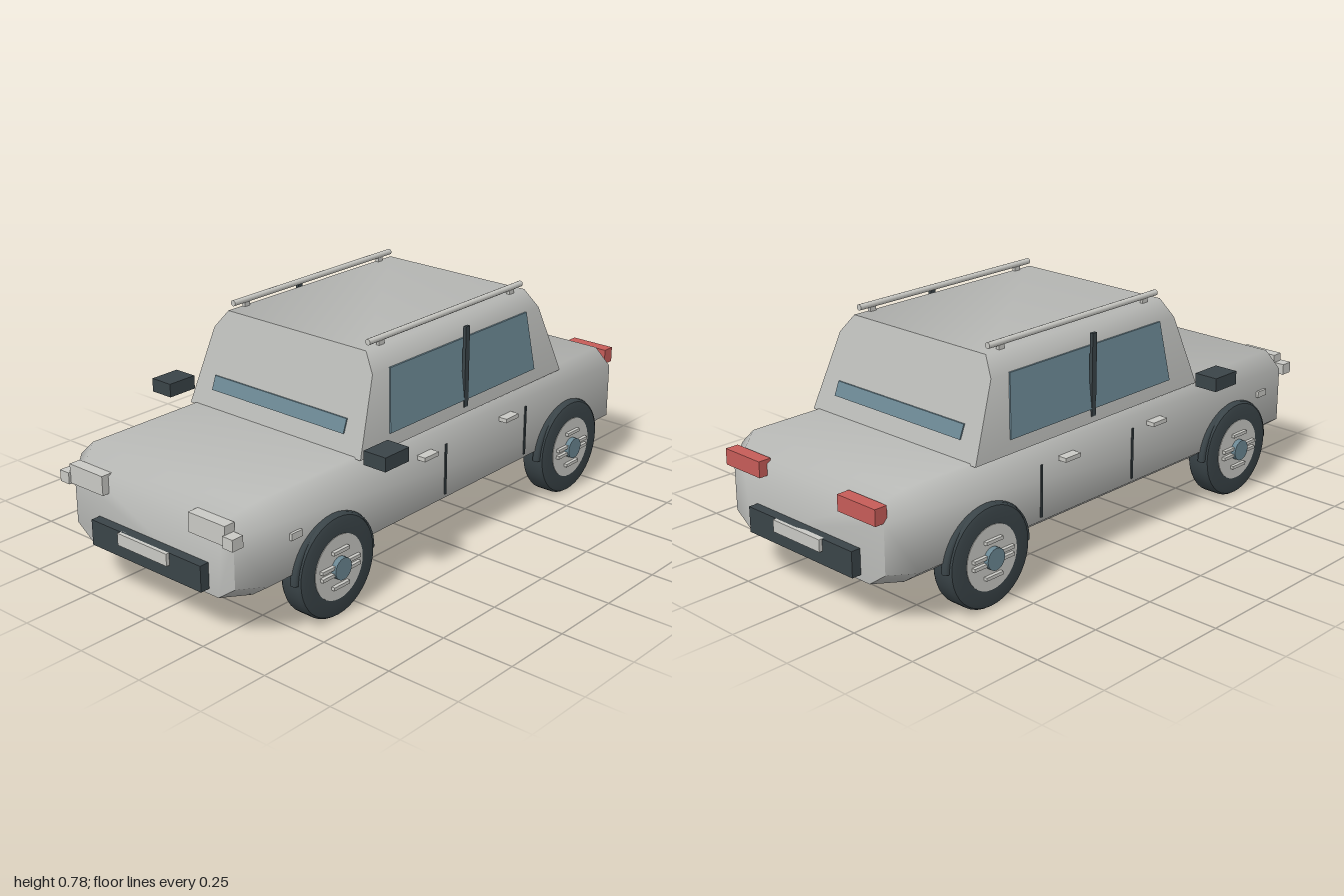
import * as THREE from 'three';
import { toCreasedNormals } from 'three/addons/utils/BufferGeometryUtils.js';

const material = (name, color) => {
  const m = new THREE.MeshStandardMaterial({ color });
  m.name = name;
  return m;
};

// Skin a series of convex rings and cap both ends
function loft(rings, crease = 1.1) {
  const n = rings[0].length, last = (rings.length - 1) * n, index = [];
  for (let i = 0; i < rings.length - 1; i++) {
    for (let j = 0; j < n; j++) {
      const k = (j + 1) % n;
      const a = i * n + j, b = i * n + k, c = b + n, d = a + n;
      index.push(a, b, c, a, c, d);
    }
  }
  for (let j = 1; j < n - 1; j++) {
    index.push(0, j + 1, j, last, last + j, last + j + 1);
  }
  const g = new THREE.BufferGeometry();
  g.setAttribute('position', new THREE.Float32BufferAttribute(rings.flat(2), 3));
  g.setIndex(index);
  return toCreasedNormals(g, crease);
}

// Level rectangle used as a ring for upright lofts
const rect = (y, x0, x1, z0, z1) => [[x1, y, z1], [x1, y, z0], [x0, y, z0], [x0, y, z1]];

export function createModel() {
  const car = new THREE.Group();
  car.name = 'car';
  const paint = material('body grey', 0xb8b9b6);
  const light = material('light trim', 0xc9c9c4);
  const dark = material('dark rubber', 0x3a4448);
  const glass = material('blue glass', 0x6b8793);
  const red = material('tail red', 0xc65c58);

  const add = (parent, name, geometry, mat, x = 0, y = 0, z = 0) => {
    const mesh = new THREE.Mesh(geometry, mat);
    mesh.name = name;
    mesh.position.set(x, y, z);
    parent.add(mesh);
    return mesh;
  };
  // Box given by its limits
  const block = (name, mat, x0, x1, y0, y1, z0, z1) =>
    add(car, name, new THREE.BoxGeometry(Math.abs(x1 - x0), y1 - y0, z1 - z0), mat,
      (x0 + x1) / 2, (y0 + y1) / 2, (z0 + z1) / 2);

  // Lower body: chamfered section, narrower at both ends
  const section = (z, w, shoulder, top, deck) => [
    [w - 0.07, 0.15, z], [w, 0.2, z], [w, shoulder, z], [deck, top, z],
    [-deck, top, z], [-w, shoulder, z], [-w, 0.2, z], [-(w - 0.07), 0.15, z],
  ];
  add(car, 'lowerBody', loft([
    section(-0.955, 0.345, 0.36, 0.4, 0.3),
    section(-0.875, 0.405, 0.39, 0.445, 0.345),
    section(0.875, 0.405, 0.39, 0.445, 0.345),
    section(0.955, 0.345, 0.36, 0.4, 0.3),
  ]), paint);

  // Cabin with sloping ends and chamfered roof sides
  const zFront = (y) => 0.435 - (y - 0.445) * 0.367;
  const zBack = (y) => -0.61 + (y - 0.445) * 0.4;
  const xSide = (y) => 0.37 - (y - 0.445) * 0.125;
  add(car, 'cabin', loft([[0.44, 0.37], [0.685, 0.34], [0.745, 0.295]].map(
    ([y, w]) => rect(y, -w, w, zBack(y), zFront(y)))), paint);

  // Windscreen strips
  add(car, 'windscreen', loft([0.5, 0.545].map(
    (y) => rect(y, -0.285, 0.285, zFront(y) - 0.004, zFront(y) + 0.005))), glass);
  add(car, 'rearWindow', loft([0.5, 0.545].map(
    (y) => rect(y, -0.285, 0.285, zBack(y) - 0.005, zBack(y) + 0.004))), glass);

  // Bumpers and number plates
  for (const s of [1, -1]) {
    const end = s > 0 ? 'front' : 'rear';
    const across = (name, mat, w, y0, y1, a, b) =>
      block(name, mat, -w, w, y0, y1, Math.min(s * a, s * b), Math.max(s * a, s * b));
    across(end + 'Bumper', dark, 0.238, 0.168, 0.253, 0.945, 0.988);
    across(end + 'Plate', light, 0.107, 0.213, 0.253, 0.98, 1.0);
  }

  // Wheel shapes, axle along y before turning
  const tyreProfile = [[0, -0.043], [0.148, -0.043], [0.162, -0.039], [0.168, -0.03],
    [0.168, 0.03], [0.162, 0.039], [0.148, 0.043], [0.105, 0.043], [0.1, 0.036], [0, 0.036]];
  const tyre = toCreasedNormals(new THREE.LatheGeometry(
    tyreProfile.map(([r, y]) => new THREE.Vector2(r, y)), 40), 0.7);
  const rim = new THREE.CylinderGeometry(0.106, 0.106, 0.012, 32);
  const hub = new THREE.CylinderGeometry(0.036, 0.036, 0.02, 20);
  const arch = new THREE.TorusGeometry(0.168, 0.014, 8, 28, Math.PI);

  for (const s of [1, -1]) {
    const side = s > 0 ? 'left' : 'right';

    // Side glass, pillar and roof rail
    add(car, side + 'SideWindow', loft([[0.485, -0.46, 0.295], [0.687, -0.438, 0.268]].map(
      ([y, z0, z1]) => {
        const a = s * (xSide(y) - 0.004), b = s * (xSide(y) + 0.005);
        return rect(y, Math.min(a, b), Math.max(a, b), z0, z1);
      })), glass);
    block(side + 'Pillar', dark, s * 0.358, s * 0.37, 0.46, 0.735, -0.094, -0.074);
    const rail = add(car, side + 'RoofRail',
      new THREE.CylinderGeometry(0.01, 0.01, 0.785, 12), light, s * 0.288, 0.767, -0.083);
    rail.rotation.x = Math.PI / 2;
    for (const z of [0.25, -0.42]) {
      block(side + 'RailFoot', light, s * 0.282, s * 0.294, 0.735, 0.762, z - 0.012, z + 0.012);
    }

    // Door mirror
    block(side + 'Mirror', dark, s * 0.42, s * 0.505, 0.456, 0.502, 0.37, 0.48);

    // Lamps
    block(side + 'Headlight', light, s * 0.187, s * 0.336, 0.344, 0.408, 0.94, 0.98);
    block(side + 'Indicator', light, s * 0.334, s * 0.374, 0.342, 0.38, 0.945, 0.988);
    block(side + 'TailLight', red, s * 0.18, s * 0.343, 0.362, 0.415, -0.985, -0.94);
    block(side + 'SideMarker', light, s * 0.4, s * 0.414, 0.316, 0.338, 0.742, 0.788);

    // Door handles and shut lines
    for (const z of [0.172, -0.252]) {
      block(side + 'DoorHandle', light, s * 0.4, s * 0.435, 0.378, 0.392, z - 0.034, z + 0.034);
    }
    for (const z of [0.065, -0.365]) {
      block(side + 'DoorLine', dark, s * 0.4, s * 0.409, 0.213, 0.387, z - 0.004, z + 0.004);
    }

    for (const z of [0.605, -0.608]) {
      // Wheel arch trim
      const trim = add(car, side + 'WheelArch', arch, dark, s * 0.408, 0.165, z);
      trim.rotation.y = Math.PI / 2;
      trim.scale.y = 0.94;

      // Wheel
      const wheel = new THREE.Group();
      wheel.name = side + (z > 0 ? 'Front' : 'Rear') + 'Wheel';
      wheel.position.set(s * 0.388, 0.168, z);
      wheel.rotation.y = s > 0 ? 0 : Math.PI;
      const parts = [['tyre', tyre, dark, 0], ['rim', rim, light, 0.039], ['hubCap', hub, glass, 0.053]];
      for (const [name, g, m, x] of parts) {
        add(wheel, name, g, m, x).rotation.z = -Math.PI / 2;
      }
      for (const [y, length] of [[0.058, 0.07], [0.012, 0.17], [-0.012, 0.17], [-0.058, 0.07]]) {
        add(wheel, 'rimBar', new THREE.BoxGeometry(0.014, 0.011, length), light, 0.05, y);
      }
      car.add(wheel);
    }
  }
  return car;
}
